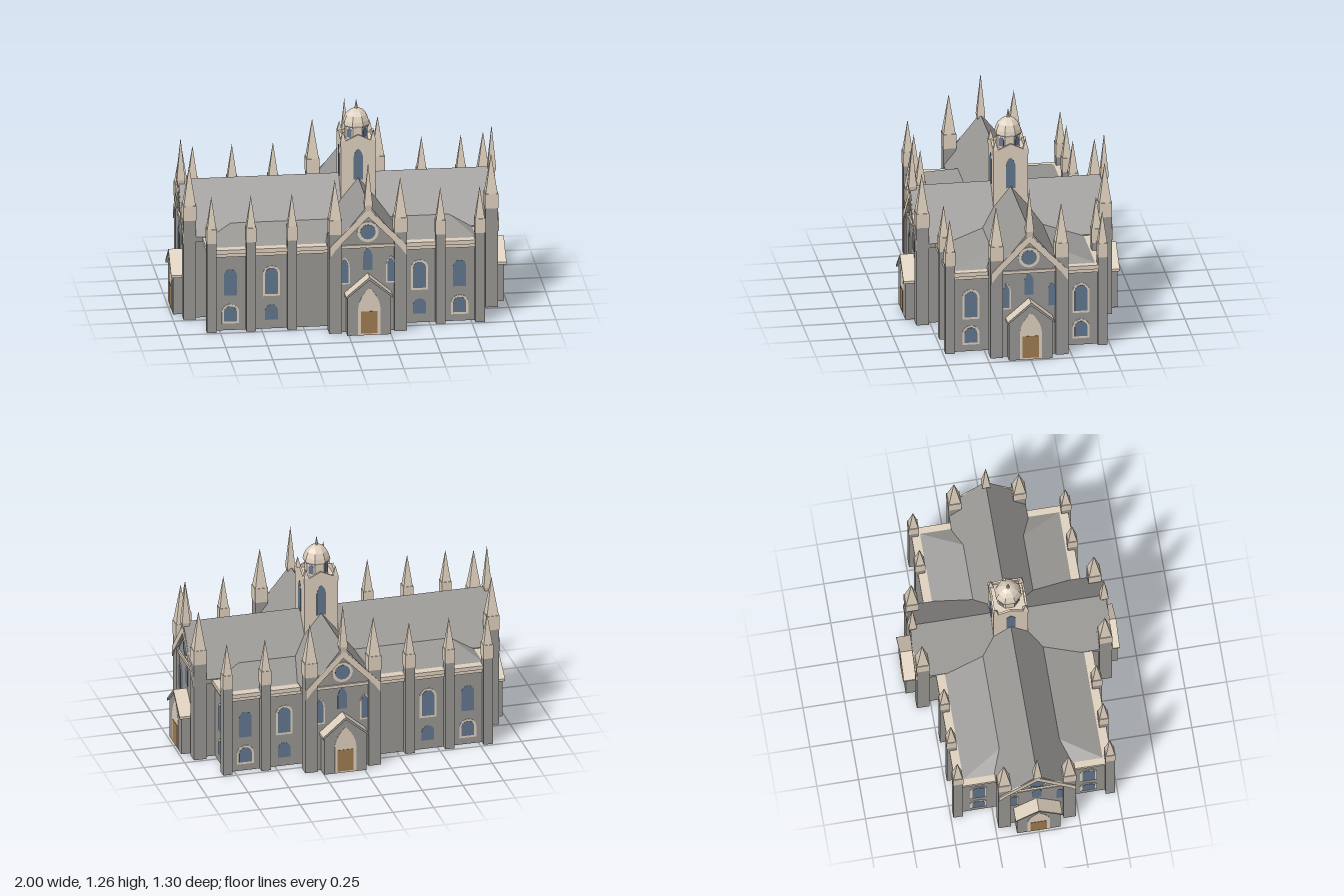
import * as THREE from 'three';

const mat = (name, color, side = THREE.FrontSide) => {
  const m = new THREE.MeshStandardMaterial({ color, side, flatShading: true });
  m.name = name;
  return m;
};

// Remove the flat face at the low end of each given axis, leaving a hollow shell
const openEnds = (geo, axes) => {
  const src = geo.index ? geo.toNonIndexed() : geo;
  src.computeBoundingBox();
  const pos = src.attributes.position, kept = [], v = new THREE.Vector3();
  for (let i = 0; i < pos.count; i += 3) {
    const tri = [0, 1, 2].map(k => v.fromBufferAttribute(pos, i + k).clone());
    const onEnd = [...axes].some(a => tri.every(p => p[a] < src.boundingBox.min[a] + 1e-4));
    if (!onEnd) tri.forEach(p => kept.push(p));
  }
  const out = new THREE.BufferGeometry().setFromPoints(kept);
  out.computeVertexNormals();
  return out;
};

export function createModel() {
  const wall = mat('grey stone', 0x979693, THREE.DoubleSide);
  const slate = mat('slate roof', 0x9a9895);
  const trim = mat('pale stone', 0xddcfbd);
  const glass = mat('window glass', 0x62768e);
  const wood = mat('door wood', 0x9f7c50);

  const add = (parent, name, geo, material, x = 0, y = 0, z = 0) => {
    const mesh = new THREE.Mesh(geo, material);
    mesh.name = name;
    mesh.position.set(x, y, z);
    parent.add(mesh);
    return mesh;
  };
  const group = (parent, name, x = 0, turn = 0) => {
    const g = new THREE.Group();
    g.name = name;
    g.position.x = x;
    g.rotation.y = turn;
    parent.add(g);
    return g;
  };
  // Box given by centre x/z, bottom and top; open below where it stands on the ground
  const block = (p, name, m, x, z, w, d, y0, y1) => {
    const geo = new THREE.BoxGeometry(w, y1 - y0, d);
    return add(p, name, y0 === 0 ? openEnds(geo, 'y') : geo, m, x, (y0 + y1) / 2, z);
  };
  const poly = pts => new THREE.Shape(pts.map(([x, y]) => new THREE.Vector2(x, y)));
  const extrude = (shape, depth) =>
    new THREE.ExtrudeGeometry(shape, { depth, bevelEnabled: false, curveSegments: 8 });
  const pyramid = (w, h) => new THREE.CylinderGeometry(0, w / Math.SQRT2, h, 4, 1, false, Math.PI / 4);

  // Arched outline, round or pointed
  const arch = (w, y0, y1, pointed) => {
    const r = w / 2, spring = pointed ? y1 - w * 0.95 : y1 - r;
    const s = new THREE.Shape();
    s.moveTo(-r, y0);
    s.lineTo(r, y0);
    s.lineTo(r, spring);
    if (pointed) {
      s.quadraticCurveTo(r * 0.9, spring + (y1 - spring) * 0.55, 0, y1);
      s.quadraticCurveTo(-r * 0.9, spring + (y1 - spring) * 0.55, -r, spring);
    } else s.absarc(0, spring, r, 0, Math.PI, false);
    return s;
  };
  const windowPane = (p, x, z, w, y0, y1, pointed, framed, edge = 0.013) => {
    if (framed) add(p, 'windowFrame', extrude(arch(w + edge * 2, y0 - edge, y1 + edge, pointed), 0.003), trim, x, 0, z);
    add(p, 'windowGlass', extrude(arch(w, y0, y1, pointed), framed ? 0.005 : 0.002), glass, x, 0, z);
  };

  // Buttress topped by a block and spire
  const buttress = (p, x, z, w, y0, y1, top) => {
    block(p, 'buttress', wall, x, z, w, w, 0, y0);
    block(p, 'pinnacleBlock', trim, x, z, w + 0.004, w + 0.004, y0, y1);
    add(p, 'spire', pyramid(w - 0.003, top - y1), trim, x, (y1 + top) / 2, z);
  };

  const model = new THREE.Group();
  model.name = 'church';

  // One arm of the cross plan, running from the crossing towards +z
  const wing = (name, x, turn, face, bothFramed) => {
    const g = group(model, name, x, turn);
    add(g, 'wingWalls', openEnds(extrude(poly([[-0.2, 0], [0.2, 0], [0.2, 0.52], [0, 0.745], [-0.2, 0.52]]), face), 'yz'), wall);
    add(g, 'wingRoof', extrude(poly([[-0.23, 0.515], [-0.23, 0.487], [0, 0.735], [0.23, 0.487], [0.23, 0.515], [0, 0.802]]),
      face + 0.023), slate);
    for (const s of [-1, 1]) block(g, 'eaveBand', trim, s * 0.208, face / 2, 0.03, face - 0.01, 0.49, 0.512);

    // Gable coping, string course and finial
    add(g, 'gableCoping', extrude(poly([[-0.23, 0.475], [-0.19, 0.53], [0, 0.725], [0.19, 0.53], [0.23, 0.475],
      [0.23, 0.54], [0, 0.777], [-0.23, 0.54]]), 0.009), trim, 0, 0, face + 0.018);
    block(g, 'stringCourse', trim, 0, face, 0.34, 0.02, 0.526, 0.545);
    add(g, 'finialBase', new THREE.CylinderGeometry(0.035, 0.022, 0.045, 4, 1, false, Math.PI / 4), trim, 0, 0.778, face + 0.01);
    add(g, 'finial', pyramid(0.05, 0.262), trim, 0, 0.931, face + 0.01);

    // Rose window
    const rose = (r, d, m, n) => {
      const s = new THREE.Shape();
      s.absarc(0, 0, r, 0, Math.PI * 2, false);
      add(g, n, extrude(s, d), m, 0, 0.625, face);
    };
    rose(0.064, 0.006, trim, 'roseFrame');
    rose(0.046, 0.009, glass, 'roseGlass');
    windowPane(g, 0, face, 0.056, 0.385, 0.525, true, false);
    for (const s of [-1, 1]) {
      windowPane(g, s * 0.138, face, 0.042, 0.31, 0.46, true, bothFramed || s < 0, 0.009);
      buttress(g, s * 0.195, face - 0.017, 0.075, 0.62, 0.71, 0.952);
    }

    // Entrance porch
    const front = face + 0.07;
    add(g, 'porchWalls', openEnds(extrude(poly([[-0.13, 0], [0.13, 0], [0.13, 0.24], [0, 0.347], [-0.13, 0.24]]), 0.11), 'yz'),
      wall, 0, 0, face - 0.04);
    add(g, 'porchRoof', extrude(poly([[-0.14, 0.232], [0, 0.347], [0.14, 0.232], [0.14, 0.247], [0, 0.366], [-0.14, 0.247]]), 0.083),
      [wall, trim], 0, 0, face);
    add(g, 'doorSurround', extrude(arch(0.132, 0.003, 0.297, true), 0.002), trim, 0, 0, front);
    block(g, 'door', wood, 0, front + 0.002, 0.098, 0.004, 0.012, 0.15);
  };
  wing('frontTransept', 0.12, 0, 0.565, true);
  wing('backTransept', 0.12, Math.PI, 0.565, true);
  wing('leftNave', 0, Math.PI / 2, 0.917, false);
  wing('rightNave', 0, -Math.PI / 2, 0.917, false);

  // Side aisles with cornice and hipped roof
  const aisles = group(model, 'aisles');
  block(aisles, 'aisleWalls', wall, 0, 0, 1.6, 0.89, 0, 0.47);
  block(aisles, 'lowerCornice', trim, 0, 0, 1.63, 0.92, 0.463, 0.485);
  block(aisles, 'upperCornice', trim, 0, 0, 1.65, 0.94, 0.485, 0.51);
  const hip = new THREE.BoxGeometry(1, 1, 1);
  const hp = hip.attributes.position;
  for (let i = 0; i < hp.count; i++) {
    const up = hp.getY(i) > 0;
    hp.setXYZ(i, Math.sign(hp.getX(i)) * (up ? 0.65 : 0.79), up ? 0.577 : 0.507, Math.sign(hp.getZ(i)) * (up ? 0.18 : 0.428));
  }
  add(aisles, 'hippedRoof', hip, slate);

  for (const s of [1, -1]) {
    const turn = s > 0 ? 0 : Math.PI;
    const side = group(aisles, s > 0 ? 'frontAisle' : 'backAisle', 0, turn);
    for (const x of [-0.8, -0.565, -0.32, 0.565, 0.8]) buttress(side, x * s, 0.457, 0.057, 0.56, 0.648, 0.845);
    for (const x of [-0.685, -0.44, 0.443, 0.682]) {
      const inner = Math.abs(x) < 0.5;
      windowPane(side, x * s, 0.445, 0.077, 0.217, 0.38, false, inner);
      windowPane(side, x * s, 0.445, 0.077, 0.055, 0.15, false, !inner);
    }
    const end = group(aisles, s > 0 ? 'leftAisleEnd' : 'rightAisleEnd', 0, s * Math.PI / 2);
    for (const z of [-0.33, 0.33]) {
      windowPane(end, z, 0.8, 0.076, 0.217, 0.38, false, true);
      windowPane(end, z, 0.8, 0.076, 0.055, 0.15, false, true);
    }
  }

  // Crossing tower with thin gabled parapets
  const tower = group(model, 'tower', 0.12);
  block(tower, 'towerWalls', trim, 0, 0, 0.208, 0.208, 0.6, 1.02);
  for (let i = 0; i < 4; i++) {
    const f = group(tower, 'towerSide', 0, i * Math.PI / 2);
    add(f, 'towerGable', extrude(poly([[-0.104, 1.02], [0.104, 1.02], [0, 1.07]]), 0.012), trim, 0, 0, 0.092);
    windowPane(f, 0, 0.104, 0.055, 0.79, 0.985, true, false);
    block(f, 'cornerPost', trim, 0.09, 0.09, 0.03, 0.03, 1.0, 1.035);
    add(f, 'cornerSpire', pyramid(0.03, 0.06), trim, 0.09, 1.065, 0.09);
    const d = group(tower, 'lanternSide', 0, (i + 0.5) * Math.PI / 2);
    windowPane(d, 0, 0.065, 0.034, 1.035, 1.092, false, false);
  }

  // Octagonal lantern and dome
  const oct = (r, h) => new THREE.CylinderGeometry(r, r, h, 8, 1, false, Math.PI / 8);
  add(tower, 'lantern', oct(0.07, 0.09), trim, 0, 1.06, 0);
  add(tower, 'domeRing', oct(0.078, 0.013), slate, 0, 1.107, 0);
  const profile = [[0.083, 1.112], [0.078, 1.135], [0.064, 1.167], [0.042, 1.19], [0.02, 1.202], [0, 1.206]];
  add(tower, 'dome', new THREE.LatheGeometry(profile.map(([x, y]) => new THREE.Vector2(x, y)), 8, Math.PI / 8), trim);
  add(tower, 'domeSpike', new THREE.ConeGeometry(0.012, 0.065, 8), trim, 0, 1.228, 0);

  return model;
}
